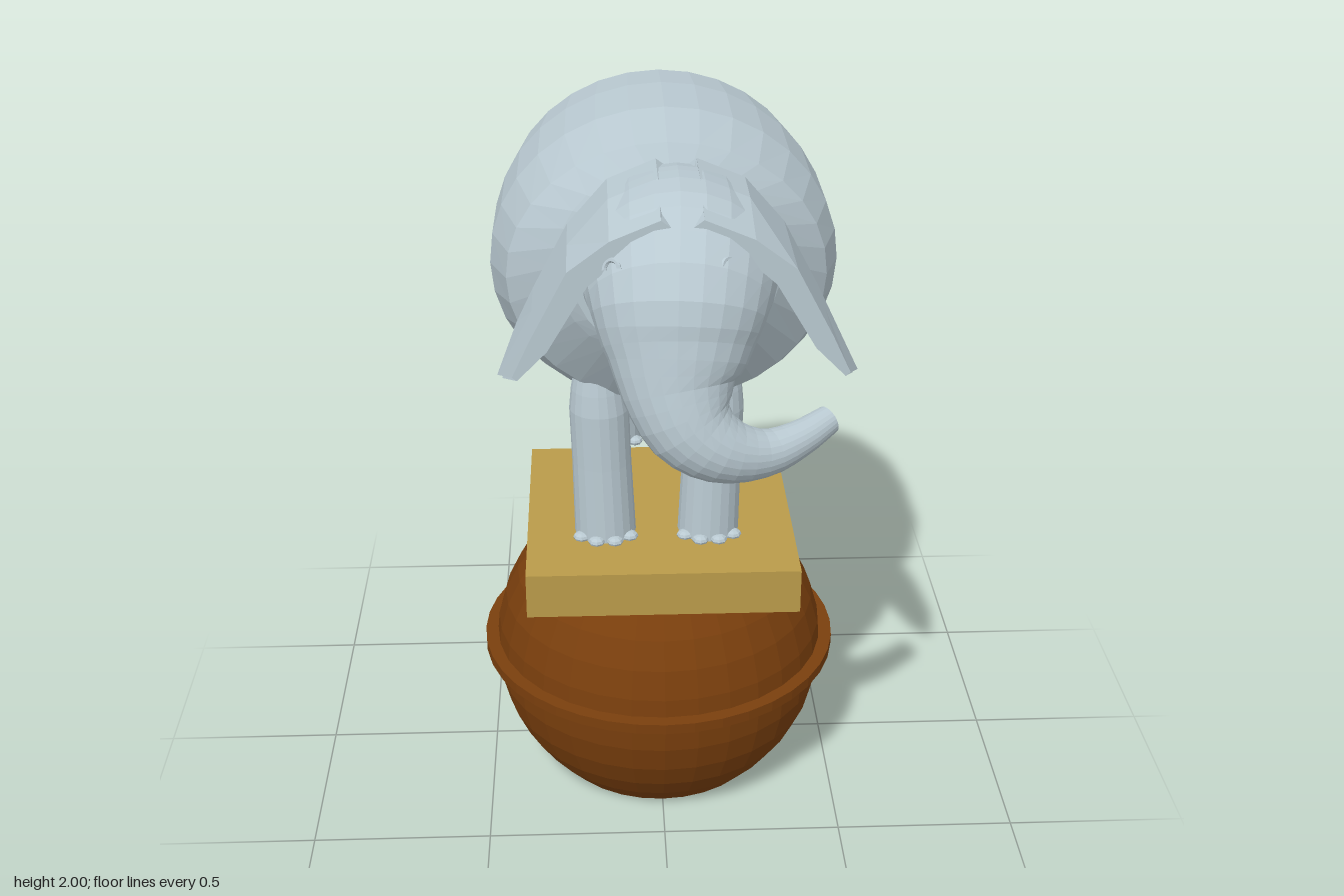
import * as THREE from 'three';

const V = (x, y, z) => new THREE.Vector3(x, y, z);
const paint = (name, color) => {
  const m = new THREE.MeshStandardMaterial({ color, flatShading: true });
  m.name = name;
  return m;
};

// Skin a list of equal-length rings and close both ends
function loft(rings) {
  const n = rings[0].length, pos = [], idx = [];
  for (const r of rings) for (const p of r) pos.push(p.x, p.y, p.z);
  for (let i = 0; i < rings.length - 1; i++) {
    for (let j = 0; j < n; j++) {
      const a = i * n + j, b = i * n + (j + 1) % n;
      idx.push(a, b, b + n, a, b + n, a + n);
    }
  }
  const end = (rings.length - 1) * n;
  for (let j = 1; j < n - 1; j++) {
    idx.push(0, j + 1, j);
    idx.push(end, end + j, end + j + 1);
  }
  const g = new THREE.BufferGeometry();
  g.setAttribute('position', new THREE.Float32BufferAttribute(pos, 3));
  g.setIndex(idx);
  g.computeVertexNormals();
  return g;
}

function ellipse(c, n, b, rx, ry, sides) {
  return Array.from({ length: sides }, (_, j) => {
    const a = j / sides * Math.PI * 2;
    return c.clone().addScaledVector(n, rx * Math.cos(a)).addScaledVector(b, ry * Math.sin(a));
  });
}

// Tapered tube; each station is [x, y, z, rx, ry], starting along `dir`
function taperedTube(stations, steps, sides, dir, n, b) {
  const path = new THREE.CatmullRomCurve3(stations.map(s => V(s[0], s[1], s[2])));
  const radii = new THREE.CatmullRomCurve3(stations.map(s => V(s[3], s[4], 0)));
  const q = new THREE.Quaternion(), t0 = dir.clone(), rings = [];
  for (let i = 0; i <= steps; i++) {
    const u = i / steps, t = path.getTangent(u), r = radii.getPoint(u);
    q.setFromUnitVectors(t0, t);
    n.applyQuaternion(q);
    b.applyQuaternion(q);
    t0.copy(t);
    rings.push(ellipse(path.getPoint(u), n, b, r.x, r.y, sides));
  }
  return loft(rings);
}

export function createModel() {
  const model = new THREE.Group();
  const skin = paint('grey skin', 0xb9c9d1);
  const brown = paint('brown ball', 0x7a3f0d);
  const wood = paint('tan board', 0xba9b4a);
  const add = (name, geo, mat, x = 0, y = 0, z = 0) => {
    const m = new THREE.Mesh(geo, mat);
    m.name = name;
    m.position.set(x, y, z);
    model.add(m);
    return m;
  };

  // Ball with flat ends, its rim, and the board on top
  const ballY = 0.37, R = 0.482, profile = [new THREE.Vector2(0, -ballY)];
  const low = Math.asin(-ballY / R * 0.985), high = Math.asin(0.315 / R);
  for (let i = 0; i <= 9; i++) {
    const a = low + (high - low) * i / 9;
    profile.push(new THREE.Vector2(R * Math.cos(a), i ? R * Math.sin(a) : -ballY));
  }
  profile.push(new THREE.Vector2(0, 0.315));
  add('ball', new THREE.LatheGeometry(profile, 32), brown, 0, ballY, 0.035);
  add('ballRim', new THREE.CylinderGeometry(0.515, 0.515, 0.03, 40), brown, 0, 0.395, 0.035);
  add('board', new THREE.BoxGeometry(0.75, 0.13, 0.75), wood, 0, 0.745, 0.035);

  // Body, cross-sections from rump to chest: z, centre y, half width, half height
  const sections = [
    [-0.76, 1.56, 0.11, 0.12], [-0.69, 1.56, 0.275, 0.25], [-0.57, 1.565, 0.375, 0.345],
    [-0.4, 1.578, 0.44, 0.397], [-0.2, 1.573, 0.467, 0.423], [0.02, 1.567, 0.47, 0.426],
    [0.2, 1.593, 0.42, 0.362], [0.325, 1.67, 0.29, 0.27], [0.345, 1.675, 0.25, 0.255]];
  add('body', loft(sections.map(([z, y, rx, ry]) =>
    ellipse(V(0.015, y, z), V(1, 0, 0), V(0, 1, 0), rx, ry, 32))), skin);

  // Head flowing into a trunk that curls to the left
  add('headAndTrunk', taperedTube([
    [0.03, 1.74, 0.3, 0.2, 0.19], [0.03, 1.745, 0.42, 0.235, 0.222],
    [0.03, 1.74, 0.54, 0.24, 0.225], [0.025, 1.7, 0.64, 0.22, 0.195],
    [0.02, 1.61, 0.7, 0.18, 0.15], [0.02, 1.52, 0.745, 0.135, 0.115],
    [0.05, 1.44, 0.775, 0.11, 0.1], [0.12, 1.385, 0.785, 0.085, 0.085],
    [0.22, 1.36, 0.765, 0.06, 0.06], [0.31, 1.375, 0.725, 0.046, 0.046],
    [0.39, 1.4, 0.67, 0.036, 0.036]], 30, 24, V(0, 0, 1), V(1, 0, 0), V(0, 1, 0)), skin);

  // Draped ears: offset from middle, height, thickness
  const drape = [[0.05, 1.965, 0.03], [0.17, 1.915, 0.05], [0.27, 1.8, 0.06],
    [0.36, 1.63, 0.05], [0.45, 1.46, 0.015]];
  for (const side of [1, -1]) {
    const rings = drape.map(([dx, y, th], i) => {
      const tip = i === drape.length - 1;
      const at = (z, inner) => {
        const short = tip && z !== 0.51;
        const px = (short ? 0.405 : dx) - inner * th * 0.8;
        const py = (short ? 1.535 : y) - inner * th * 0.6 - (i < 2 && z > 0.6 ? 0.04 : 0);
        return V(0.03 + side * px, py, z);
      };
      const ring = [at(0.36, 0), at(0.51, 0), at(0.69, 0), at(0.69, 1), at(0.51, 1), at(0.36, 1)];
      return side > 0 ? ring : ring.reverse();
    });
    add(side > 0 ? 'leftEar' : 'rightEar', loft(rings), skin);

    // Small arched eyelid
    const lid = add('eyelid', new THREE.TorusGeometry(0.022, 0.006, 6, 10, Math.PI), skin,
      side * 0.135, 1.825, 0.735);
    lid.rotation.set(-0.5, side * 0.7, 0);
  }

  // Legs: foot x, foot z, top x, top z
  const legs = [['frontRightLeg', -0.155, 0.155, -0.17, 0.145], ['frontLeftLeg', 0.135, 0.155, 0.15, 0.145],
    ['backRightLeg', -0.125, -0.43, -0.135, -0.45], ['backLeftLeg', 0.165, -0.43, 0.165, -0.45]];
  for (const [name, x, z, tx, tz] of legs) {
    const spots = [[0, 0.808, 0.086], [0.5, 1.03, 0.082], [0.85, 1.19, 0.082], [1, 1.25, 0.074], [1.1, 1.32, 0.06]];
    add(name, loft(spots.map(([f, y, r]) =>
      ellipse(V(x + (tx - x) * f, y, z + (tz - z) * f), V(0, 0, 1), V(1, 0, 0), r, r, 20))), skin);
    for (let i = 0; i < 4; i++) {
      const a = -0.9 + i * 0.6;
      const toe = add('toe', new THREE.SphereGeometry(0.024, 8, 6), skin,
        x + 0.086 * Math.sin(a), 0.816, z + 0.086 * Math.cos(a));
      toe.scale.y = 0.6;
    }
  }

  // Tail
  add('tail', taperedTube([[0.03, 1.64, -0.74, 0.022, 0.022], [0.03, 1.635, -0.79, 0.015, 0.015],
    [0.03, 1.628, -0.83, 0.008, 0.008], [0.03, 1.607, -0.865, 0.001, 0.001]],
    8, 8, V(0, 0, -1), V(-1, 0, 0), V(0, 1, 0)), skin);

  return model;
}
